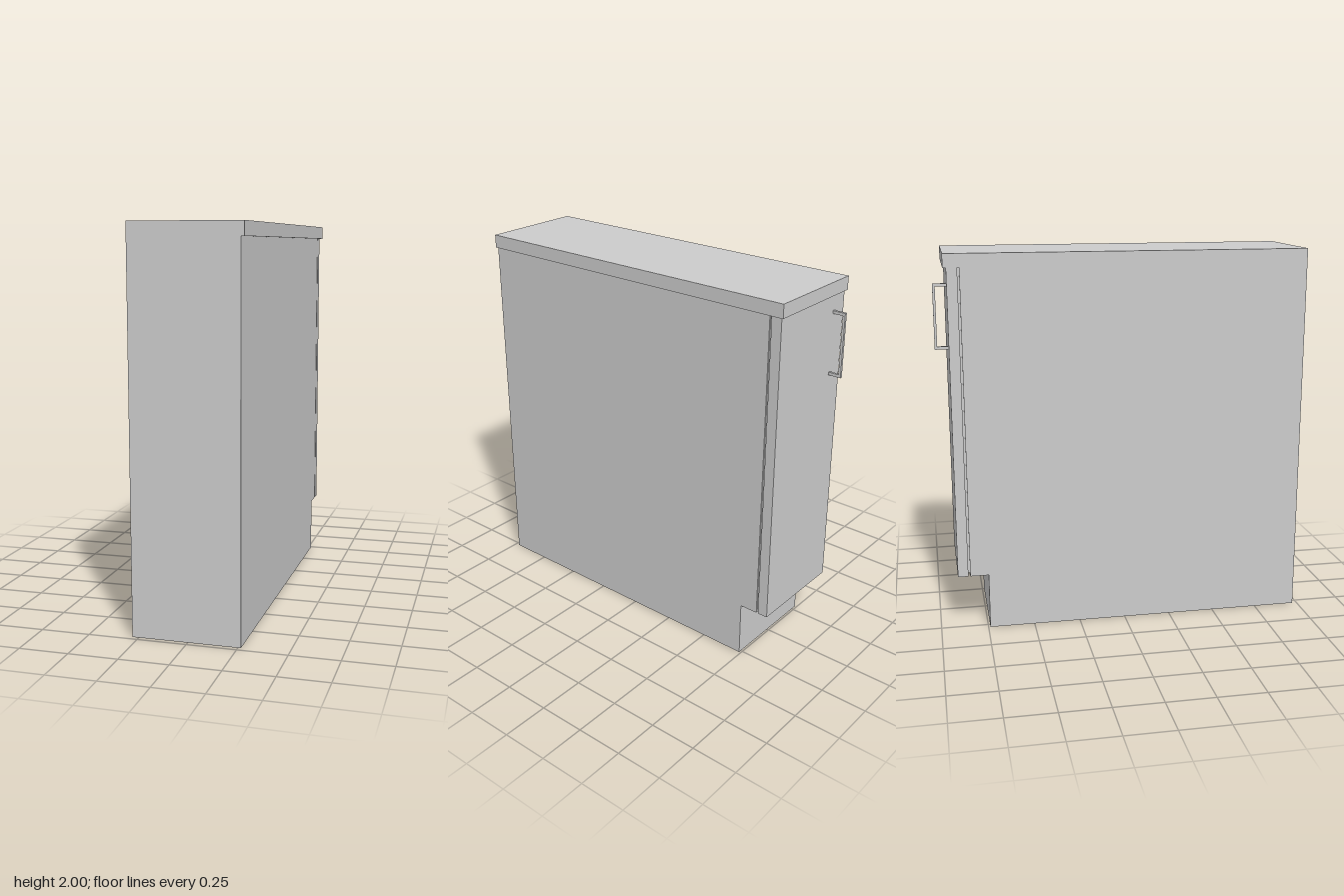
import * as THREE from 'three';

const material = new THREE.MeshStandardMaterial({ color: 0xcccccc, flatShading: true });

// Box given by its minimum and maximum corners
function slab(name, [x0, y0, z0], [x1, y1, z1]) {
  const mesh = new THREE.Mesh(new THREE.BoxGeometry(x1 - x0, y1 - y0, z1 - z0), material);
  mesh.position.set((x0 + x1) / 2, (y0 + y1) / 2, (z0 + z1) / 2);
  mesh.name = name;
  return mesh;
}

export function createModel() {
  const model = new THREE.Group();
  model.name = 'baseCabinet';
  const left = -0.283, right = 0.265, wall = 0.975;

  // Carcass: side profile with a toe-kick notch, extruded across the width
  const profile = new THREE.Shape([
    [-wall, 0], [0.74, 0], [0.74, 0.3], [0.838, 0.3], [0.838, 1.93], [-wall, 1.93],
  ].map(([u, v]) => new THREE.Vector2(u, v)));
  const carcassGeometry = new THREE.ExtrudeGeometry(profile, { depth: right - left, bevelEnabled: false });
  carcassGeometry.rotateY(Math.PI / 2); // profile u runs towards -z
  carcassGeometry.translate(left, 0, 0);
  const carcass = new THREE.Mesh(carcassGeometry, material);
  carcass.name = 'carcass';
  model.add(carcass);

  // Recessed seal that leaves a shadow gap behind the door
  model.add(slab('doorSeal', [left + 0.008, 0.32, -0.848], [right - 0.008, 1.93, -0.838]));
  model.add(slab('door', [left, 0.3, -0.903], [right, 1.93, -0.848]));

  // Worktop, flush on one side and overhanging on the other
  model.add(slab('worktop', [left, 1.93, -0.92], [0.281, 2, wall]));

  // Bar handle with two posts
  const handle = new THREE.Group();
  handle.name = 'handle';
  const hx0 = -0.199, hx1 = -0.185;
  handle.add(slab('handleBar', [hx0, 1.51, -0.972], [hx1, 1.845, -0.959]));
  for (const y of [1.51, 1.83]) {
    handle.add(slab('handlePost', [hx0, y, -0.959], [hx1, y + 0.015, -0.903]));
  }
  model.add(handle);
  return model;
}
